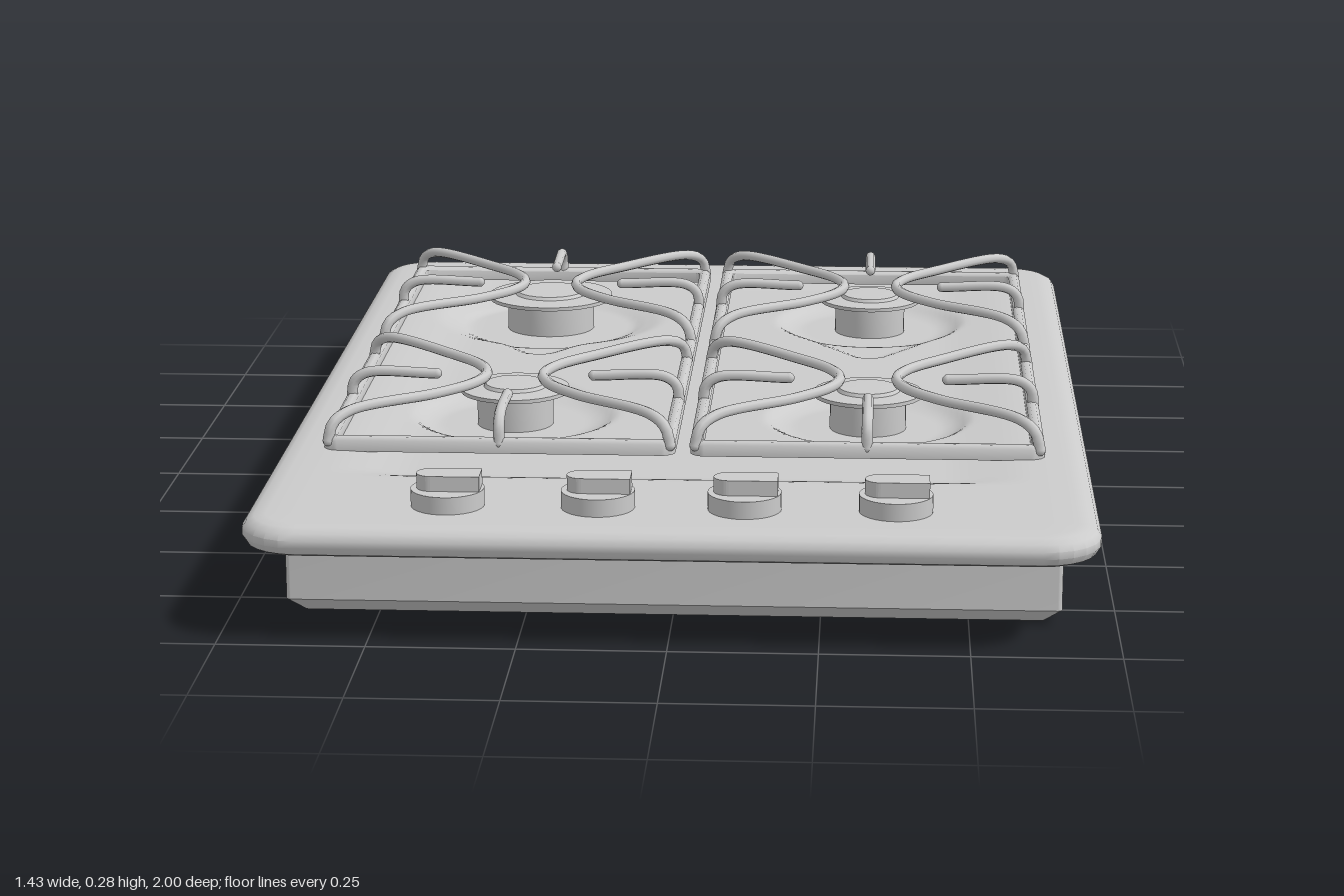
import * as THREE from 'three';
import { toCreasedNormals } from 'three/addons/utils/BufferGeometryUtils.js';

const metal = new THREE.MeshStandardMaterial({ color: 0xcccccc });
const CX = 0.325, REAR = -0.525, FRONT = 0.213;
const BURNERS = [
  { x: -CX, z: REAR, dir: 1, dish: 0.235, cap: 0.125 },
  { x: CX, z: REAR, dir: 1, dish: 0.195, cap: 0.1 },
  { x: -CX, z: FRONT, dir: -1, dish: 0.195, cap: 0.1 },
  { x: CX, z: FRONT, dir: -1, dish: 0.195, cap: 0.1 },
];

function add(parent, name, geometry, x = 0, y = 0, z = 0) {
  const mesh = new THREE.Mesh(geometry, metal);
  mesh.name = name;
  mesh.position.set(x, y, z);
  parent.add(mesh);
  return mesh;
}

// Horizontal rounded-rectangle loop with a fixed point count
function loop(hw, hd, r, y) {
  const pts = [], k = 6;
  for (let c = 0; c < 4; c++) {
    const sx = c === 0 || c === 3 ? 1 : -1, sz = c < 2 ? 1 : -1;
    for (let i = 0; i <= k; i++) {
      const a = (c + i / k) * Math.PI / 2;
      pts.push([sx * (hw - r) + r * Math.cos(a), y, sz * (hd - r) + r * Math.sin(a)]);
    }
  }
  return pts;
}

// Skin a list of loops, outside facing out when they run upward
function skin(loops, crease = 0.6) {
  const n = loops[0].length, index = [];
  for (let j = 0; j < loops.length - 1; j++) {
    for (let i = 0; i < n; i++) {
      const a = j * n + i, b = j * n + (i + 1) % n;
      index.push(a, a + n, b, b, a + n, b + n);
    }
  }
  const g = new THREE.BufferGeometry();
  g.setAttribute('position', new THREE.Float32BufferAttribute(loops.flat(2), 3));
  g.setIndex(index);
  return toCreasedNormals(g, crease);
}

const smooth = THREE.MathUtils.smoothstep;

// Height of the pressed sheet: sunken cooking area with teardrop burner dishes
function sheetHeight(x, z) {
  let y = 0.2 - 0.012 * smooth(0.685 - z, 0, 0.065) * smooth(0.61 - Math.abs(x), 0, 0.15) * smooth(z + 0.88, 0, 0.1);
  for (const b of BURNERS) {
    const dx = x - b.x, dz = (z - b.z) * b.dir;
    let tear = 1;
    for (let i = 0; i <= 12; i++) {
      const t = i / 12;
      tear = Math.min(tear, Math.hypot(dx, dz - t * 0.25) - THREE.MathUtils.lerp(0.19, 0.05, t));
    }
    y -= 0.006 * smooth(-tear, 0, 0.025);
    y -= 0.012 * smooth(b.dish - Math.hypot(dx, dz), 0, 0.06);
  }
  return y;
}

function buildTop(root) {
  const W = 0.715, D = 1, R = 0.1, iw = 0.62, id = 0.9;
  const rim = [[0.05, 0.165], [0.038, 0.152], [0.022, 0.149], [0.008, 0.155], [0, 0.168], [0, 0.18], [0.007, 0.191], [0.02, 0.198], [0.04, 0.2]]
    .map(([inset, y]) => loop(W - inset, D - inset, R - inset, y));
  add(root, 'topRim', skin([loop(0, 0, 0, 0.165), ...rim, loop(iw, id, 0, 0.2)]));
  const sheet = new THREE.PlaneGeometry(2 * iw, 2 * id, 124, 180).rotateX(-Math.PI / 2);
  const p = sheet.attributes.position;
  for (let i = 0; i < p.count; i++) p.setY(i, sheetHeight(p.getX(i), p.getZ(i)));
  sheet.computeVertexNormals();
  add(root, 'cooktopSheet', sheet);
}

function buildBurner(root, b) {
  const c = b.cap;
  const profile = [[c * 0.7, 0.165], [c * 0.7, 0.229], [c, 0.232], [c, 0.239], [c * 0.58, 0.241], [c * 0.54, 0.247], [0, 0.248]]
    .map(([r, y]) => new THREE.Vector2(r, y));
  add(root, 'burner', toCreasedNormals(new THREE.LatheGeometry(profile, 32), 0.5), b.x, 0, b.z);
}

function rod(points) {
  const path = new THREE.CatmullRomCurve3(points.map(p => new THREE.Vector3(...p)), false, 'centripetal');
  return new THREE.TubeGeometry(path, points.length * 6, 0.01, 8);
}

// Rod with rounded closed tips
function addRod(parent, name, points) {
  add(parent, name, rod(points));
  for (const p of [points[0], points[points.length - 1]]) add(parent, 'rodTip', new THREE.SphereGeometry(0.01, 8, 6), ...p);
}

function buildGrate(root, cx) {
  const grate = new THREE.Group();
  grate.name = 'grate';
  grate.position.x = cx;
  const hw = 0.312, hd = 0.678, t = 0.022, low = 0.198, high = 0.224;
  const frame = [
    loop(hw, hd, 0.025, low), loop(hw, hd, 0.025, high - 0.006), loop(hw - 0.006, hd - 0.006, 0.019, high),
    loop(hw - t + 0.006, hd - t + 0.006, 0.01, high), loop(hw - t, hd - t, 0.008, high - 0.006),
    loop(hw - t, hd - t, 0.008, low), loop(hw, hd, 0.025, low),
  ];
  add(grate, 'grateFrame', skin(frame, 0.9), 0, 0, -0.157);

  const top = 0.262;
  for (const [cz, out] of [[REAR, -1], [FRONT, 1]]) {
    for (const s of [-1, 1]) {
      // Bowed rod from corner to side bar
      const half = [[0.303, 0.215, 0.3], [0.295, 0.245, 0.294], [0.268, top, 0.267], [0.13, top, 0.142], [0.07, top, 0.066]];
      const first = half.map(([x, y, z]) => [s * x, y, cz - z]);
      const last = half.map(([x, y, z]) => [s * x, y, cz + z]).reverse();
      addRod(grate, 'bowedRod', [...first, [s * 0.052, top, cz], ...last]);
      addRod(grate, 'sideSpoke', [[s * 0.303, 0.215, cz], [s * 0.298, 0.245, cz], [s * 0.275, top, cz], [s * 0.145, top, cz]]);
    }
    const e = cz + out * 0.3;
    addRod(grate, 'endSpoke', [[0, 0.215, e], [0, 0.245, e - out * 0.005], [0, top, e - out * 0.028], [0, top, cz + out * 0.14]]);
  }
  root.add(grate);
}

function buildKnob(root, x) {
  const knob = new THREE.Group();
  knob.name = 'knob';
  knob.position.set(x, 0.198, 0.842);
  add(knob, 'knobBase', new THREE.CylinderGeometry(0.062, 0.062, 0.032, 32), 0, 0.016, 0);
  // Grip rounded at one end
  const s = new THREE.Shape();
  s.moveTo(0.056, -0.026);
  s.lineTo(0.056, 0.026);
  s.lineTo(-0.026, 0.026);
  s.absarc(-0.026, 0, 0.026, Math.PI / 2, Math.PI * 1.5, false);
  const grip = new THREE.ExtrudeGeometry(s, { depth: 0.028, bevelEnabled: false, curveSegments: 10 });
  add(knob, 'knobGrip', grip.rotateX(-Math.PI / 2), 0, 0.03, 0);
  root.add(knob);
}

export function createModel() {
  const root = new THREE.Group();
  root.name = 'gasCooktop';
  // Lower housing with chamfered bottom edge
  const bw = 0.657, bd = 0.833, r = 0.008;
  add(root, 'housing', skin([
    loop(0, 0, 0, 0), loop(bw - 0.027, bd - 0.027, r, 0), loop(bw, bd, r, 0.026), loop(bw, bd, r, 0.168),
  ], 0.4), 0, 0, 0.002);
  buildTop(root);
  BURNERS.forEach(b => buildBurner(root, b));
  for (const x of [-CX, CX]) buildGrate(root, x);
  for (const x of [-0.377, -0.124, 0.122, 0.375]) buildKnob(root, x);
  return root;
}
